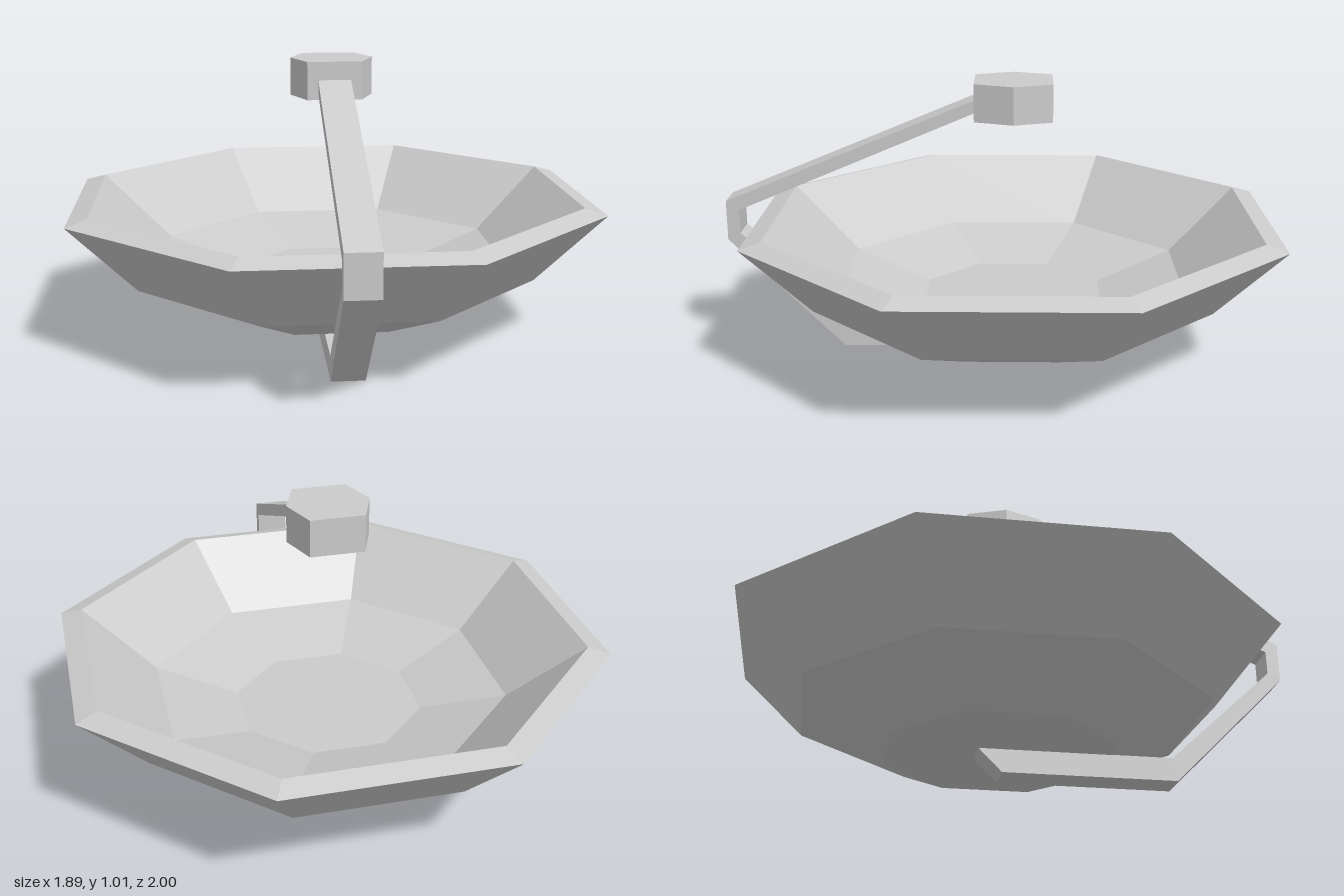
import * as THREE from 'three';

const material = new THREE.MeshStandardMaterial({ color: 0xcccccc, flatShading: true });
const centreZ = -0.055; // dish axis

function addPart(group, name, geometry) {
  const mesh = new THREE.Mesh(geometry, material);
  mesh.name = name;
  group.add(mesh);
  return mesh;
}

function extrude(points, depth) {
  const shape = new THREE.Shape(points.map(([x, y]) => new THREE.Vector2(x, y)));
  return new THREE.ExtrudeGeometry(shape, { depth, bevelEnabled: false });
}

export function createModel() {
  const group = new THREE.Group();
  group.name = 'dishAntenna';

  // Eight-sided dish: [distance to flat side, height], outside up, over the rim, inside down
  const profile = [
    [0, 0.085], [0.4, 0.085], [0.71, 0.228], [0.945, 0.487],
    [0.87, 0.51], [0.615, 0.28], [0.325, 0.195], [0, 0.195],
  ];
  const toCorner = 1 / Math.cos(Math.PI / 8);
  const dish = new THREE.LatheGeometry(
    profile.map(([r, y]) => new THREE.Vector2(r * toCorner, y)), 8, Math.PI / 8);
  addPart(group, 'dish', dish).position.z = centreZ;

  // Bent support arm: side outline as [z, y], from under the dish round to the receiver
  const width = 0.118;
  const arm = extrude([
    [-0.055, 0], [0.58, 0], [1, 0.42], [1, 0.567], [0.06, 0.957],
    [0.06, 0.91], [0.953, 0.533], [0.953, 0.445], [0.565, 0.086], [-0.14, 0.086],
  ], width);
  arm.rotateY(-Math.PI / 2).translate(width / 2, 0, 0);
  addPart(group, 'supportArm', arm);

  // Six-sided receiver above the dish centre
  const receiver = extrude([
    [0.15, 0], [0.098, 0.141], [-0.098, 0.141],
    [-0.15, 0], [-0.098, -0.141], [0.098, -0.141],
  ], 0.137);
  receiver.rotateX(-Math.PI / 2);
  addPart(group, 'receiver', receiver).position.set(0, 0.875, centreZ);

  return group;
}
